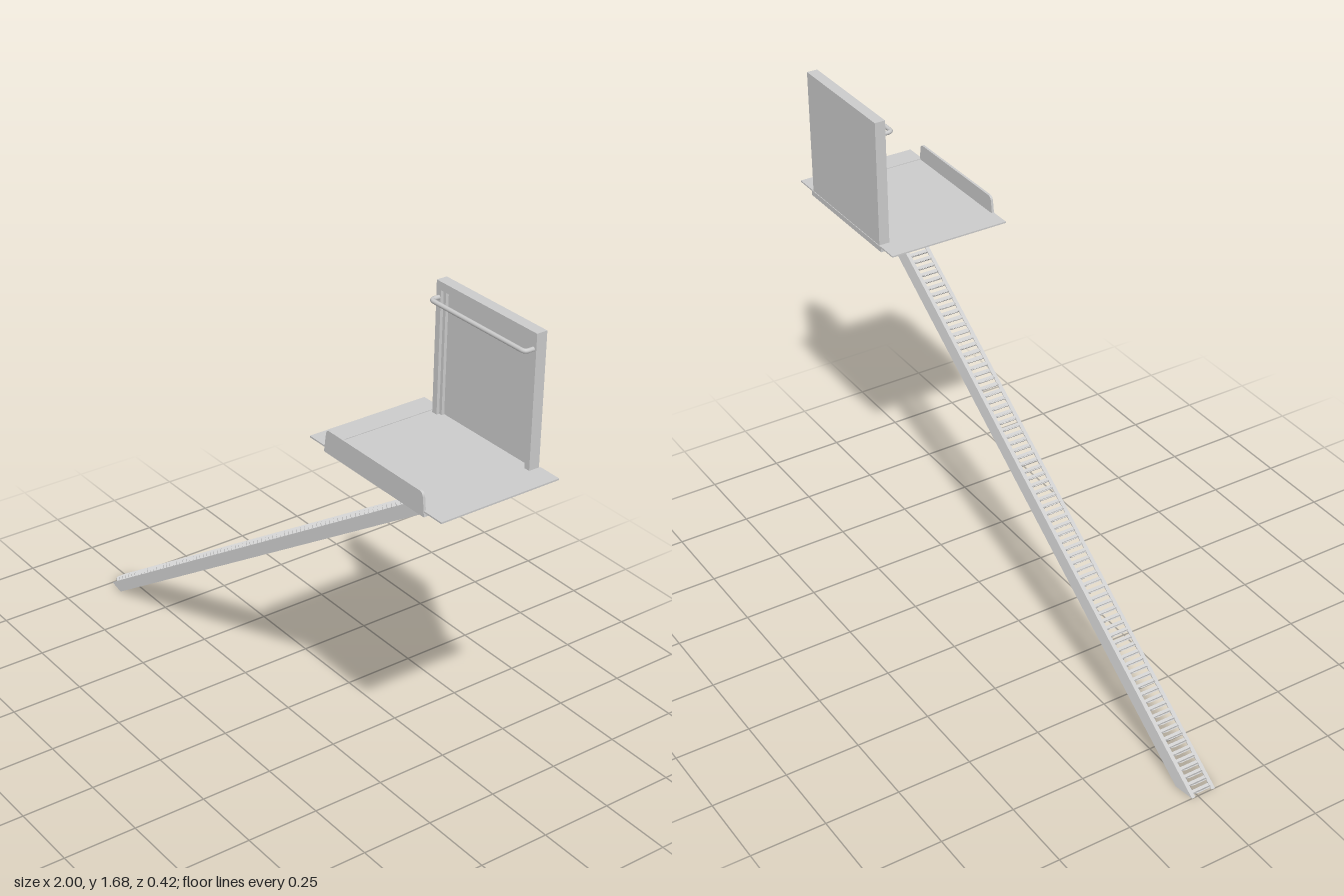
import * as THREE from 'three';
import { mergeGeometries } from 'three/addons/utils/BufferGeometryUtils.js';

const material = new THREE.MeshStandardMaterial({ color: 0xcccccc, side: THREE.DoubleSide });

const RISE = 1.238;      // height of the rail
const RUN = 1.5;         // horizontal run per unit of height
const RAIL_Z = 0.021;    // rail centre line

function add(group, name, geometry) {
  const mesh = new THREE.Mesh(geometry, material);
  mesh.name = name;
  group.add(mesh);
  return mesh;
}

// Box from its minimum and maximum corners
function box(x0, x1, y0, y1, z0, z1) {
  return new THREE.BoxGeometry(x1 - x0, y1 - y0, z1 - z0)
    .translate((x0 + x1) / 2, (y0 + y1) / 2, (z0 + z1) / 2);
}

function polygon(points) {
  return new THREE.Shape(points.map(([x, y]) => new THREE.Vector2(x, y)));
}

// Flared channel wall with a top lip, sheared along the slope and cut level at both ends
function railWall(side) {
  const section = [[0, 0.043], [0.07, 0.053], [0.07, 0.049], [0.006, 0.039], [0.006, 0.03], [0, 0.03]];
  const shape = polygon(section.map(([d, z]) => [d, -side * z]));
  const g = new THREE.ExtrudeGeometry(shape, { depth: RISE, bevelEnabled: false });
  g.rotateX(-Math.PI / 2);
  const p = g.attributes.position;
  for (let i = 0; i < p.count; i++) p.setX(i, p.getX(i) - 1 + RUN * p.getY(i));
  g.computeVertexNormals();
  return g.translate(0, 0, RAIL_Z);
}

function buildRail() {
  const rail = new THREE.Group();
  rail.name = 'inclinedRail';
  for (const side of [1, -1]) add(rail, side > 0 ? 'railWallFront' : 'railWallBack', railWall(side));

  // Rungs of the open deck, each followed by a raised rounded tooth
  const slope = Math.atan(1 / RUN);
  const arch = new THREE.Shape();
  arch.moveTo(-0.031, -0.002);
  arch.quadraticCurveTo(-0.029, 0.014, -0.018, 0.014);
  arch.lineTo(0.018, 0.014);
  arch.quadraticCurveTo(0.029, 0.014, 0.031, -0.002);
  const tooth = new THREE.ExtrudeGeometry(arch, { depth: 0.003, bevelEnabled: false, curveSegments: 4 })
    .rotateY(Math.PI / 2).rotateZ(0.35).toNonIndexed();
  const rung = new THREE.BoxGeometry(0.013, 0.004, 0.07).translate(0.006, -0.003, 0).toNonIndexed();
  const teeth = [], rungs = [];
  const count = 86;
  for (let i = 0; i < count; i++) {
    const y = 0.006 + (i / (count - 1)) * (RISE - 0.03);
    const place = (g) => g.clone().rotateZ(slope).translate(-1 + RUN * y, y, RAIL_Z);
    teeth.push(place(tooth));
    rungs.push(place(rung));
  }
  add(rail, 'rackTeeth', mergeGeometries(teeth));
  add(rail, 'rackRungs', mergeGeometries(rungs));
  return rail;
}

function buildPlatform() {
  const platform = new THREE.Group();
  platform.name = 'platform';
  add(platform, 'floor', box(0.472, 0.925, 1.238, 1.256, -0.208, 0.208));

  // Thin boarding flaps on both ends
  add(platform, 'boardingFlapRight', box(0.4, 0.475, 1.253, 1.258, -0.208, 0.208));
  add(platform, 'boardingFlapLeft', box(0.922, 1.0, 1.253, 1.258, -0.208, 0.208));

  // Front guard with rounded top corners
  const guard = new THREE.Shape();
  guard.moveTo(0.47, 1.24);
  guard.lineTo(0.478, 1.295);
  guard.quadraticCurveTo(0.479, 1.313, 0.496, 1.313);
  guard.lineTo(0.902, 1.313);
  guard.quadraticCurveTo(0.919, 1.313, 0.92, 1.295);
  guard.lineTo(0.927, 1.24);
  add(platform, 'frontGuard', new THREE.ExtrudeGeometry(guard, { depth: 0.008, bevelEnabled: false })
    .translate(0, 0, 0.201));
  return platform;
}

function buildBackrest() {
  const back = new THREE.Group();
  back.name = 'backWall';
  add(back, 'backPanel', box(0.485, 0.917, 1.25, 1.678, -0.206, -0.19));

  // Raised border around the recessed panel, open at the floor
  const border = polygon([[0.485, 1.255], [0.505, 1.255], [0.505, 1.652], [0.897, 1.652],
    [0.897, 1.255], [0.917, 1.255], [0.917, 1.678], [0.485, 1.678]]);
  add(back, 'backBorder', new THREE.ExtrudeGeometry(border, { depth: 0.02, bevelEnabled: false })
    .translate(0, 0, -0.19));
  add(back, 'innerStripRight', box(0.505, 0.516, 1.255, 1.652, -0.19, -0.18));
  add(back, 'innerStripLeft', box(0.886, 0.897, 1.255, 1.652, -0.19, -0.18));

  // Grab bar: a U-shaped tube with rounded corners
  const path = new THREE.CurvePath();
  const v = (x, z) => new THREE.Vector3(x, 1.628, z);
  path.add(new THREE.LineCurve3(v(0.497, -0.18), v(0.497, -0.155)));
  path.add(new THREE.QuadraticBezierCurve3(v(0.497, -0.155), v(0.497, -0.14), v(0.512, -0.14)));
  path.add(new THREE.LineCurve3(v(0.512, -0.14), v(0.89, -0.14)));
  path.add(new THREE.QuadraticBezierCurve3(v(0.89, -0.14), v(0.905, -0.14), v(0.905, -0.155)));
  path.add(new THREE.LineCurve3(v(0.905, -0.155), v(0.905, -0.18)));
  add(back, 'grabBar', new THREE.TubeGeometry(path, 120, 0.007, 10));
  return back;
}

export function createModel() {
  const model = new THREE.Group();
  model.name = 'inclinedPlatformLift';
  model.add(buildRail(), buildPlatform(), buildBackrest());
  return model;
}
